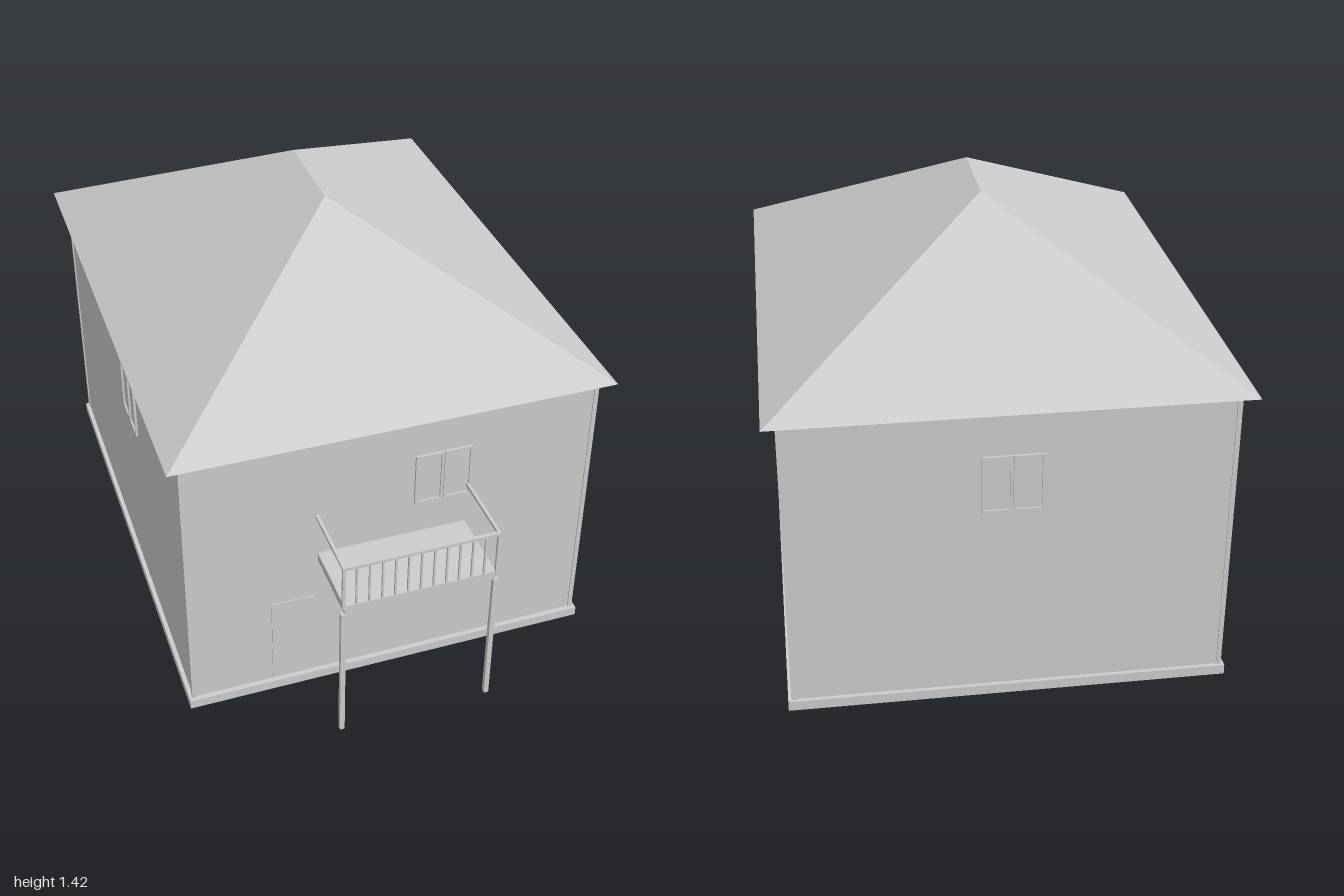
import * as THREE from 'three';
import { ConvexGeometry } from 'three/addons/geometries/ConvexGeometry.js';

export function createModel() {
  const house = new THREE.Group();
  house.name = 'house';
  const plaster = new THREE.MeshStandardMaterial({ color: 0xcccccc });
  plaster.name = 'plainGrey';

  // box given by its min and max along each axis
  const box = (name, x0, x1, y0, y1, z0, z1, parent = house) => {
    const mesh = new THREE.Mesh(new THREE.BoxGeometry(x1 - x0, y1 - y0, z1 - z0), plaster);
    mesh.position.set((x0 + x1) / 2, (y0 + y1) / 2, (z0 + z1) / 2);
    mesh.name = name;
    parent.add(mesh);
    return mesh;
  };

  // plinth, walls and corner trims
  box('plinth', -0.694, 0.694, 0, 0.033, -0.965, 0.759);
  box('walls', -0.68, 0.68, 0.033, 1.006, -0.952, 0.742);
  for (const s of [-1, 1]) {
    const [x0, x1] = s > 0 ? [0.669, 0.684] : [-0.684, -0.669];
    box('cornerTrim', x0, x1, 0.033, 1.006, 0.731, 0.746);
    box('cornerTrim', x0, x1, 0.033, 1.006, -0.956, -0.941);
  }

  // hipped roof with a short ridge
  const points = [];
  for (const x of [-0.725, 0.725])
    for (const z of [-1, 0.786]) points.push(new THREE.Vector3(x, 1.006, z));
  for (const z of [-0.275, 0.062]) points.push(new THREE.Vector3(0, 1.423, z));
  const roof = new THREE.Mesh(new ConvexGeometry(points), plaster);
  roof.name = 'roof';
  house.add(roof);

  // two-sash window, built facing +z and turned onto its wall
  const addWindow = (name, x, z, turn) => {
    const w = new THREE.Group();
    w.name = name;
    for (const side of [-1, 1]) {
      const a = side < 0 ? -0.096 : 0.001;
      const b = a + 0.095;
      box('glass', a, b, 0.66, 0.85, -0.002, 0.002, w);
      box('sashSide', a, a + 0.009, 0.66, 0.85, -0.002, 0.008, w);
      box('sashSide', b - 0.009, b, 0.66, 0.85, -0.002, 0.008, w);
      box('sashRail', a + 0.009, b - 0.009, 0.66, 0.669, -0.002, 0.008, w);
      box('sashRail', a + 0.009, b - 0.009, 0.841, 0.85, -0.002, 0.008, w);
    }
    w.position.set(x, 0, z);
    w.rotation.y = turn;
    house.add(w);
  };
  addWindow('frontWindow', 0.166, 0.742, 0);
  addWindow('backWindow', -0.003, -0.952, Math.PI);
  addWindow('leftWindow', 0.68, -0.1, Math.PI / 2);
  addWindow('rightWindow', -0.68, 0.03, -Math.PI / 2);

  // front door
  box('door', -0.407, -0.264, 0.037, 0.365, 0.738, 0.746);

  // balcony slab on two posts
  const balcony = new THREE.Group();
  balcony.name = 'balcony';
  house.add(balcony);
  box('deck', -0.25, 0.25, 0.51, 0.541, 0.74, 0.997, balcony);
  for (const s of [-1, 1]) {
    const c = s * 0.252;
    box('post', c - 0.008, c + 0.008, 0, 0.506, 0.982, 0.998, balcony);
    box('railPost', c - 0.005, c + 0.005, 0.53, 0.69, 0.99, 1, balcony);
    box('sideRail', c - 0.005, c + 0.005, 0.688, 0.699, 0.74, 0.99, balcony);
  }
  box('frontRail', -0.257, 0.257, 0.688, 0.699, 0.988, 1, balcony);
  for (let i = 1; i < 12; i++) {
    const x = -0.252 + i * 0.042;
    box('baluster', x - 0.003, x + 0.003, 0.541, 0.688, 0.99, 0.997, balcony);
  }
  return house;
}
